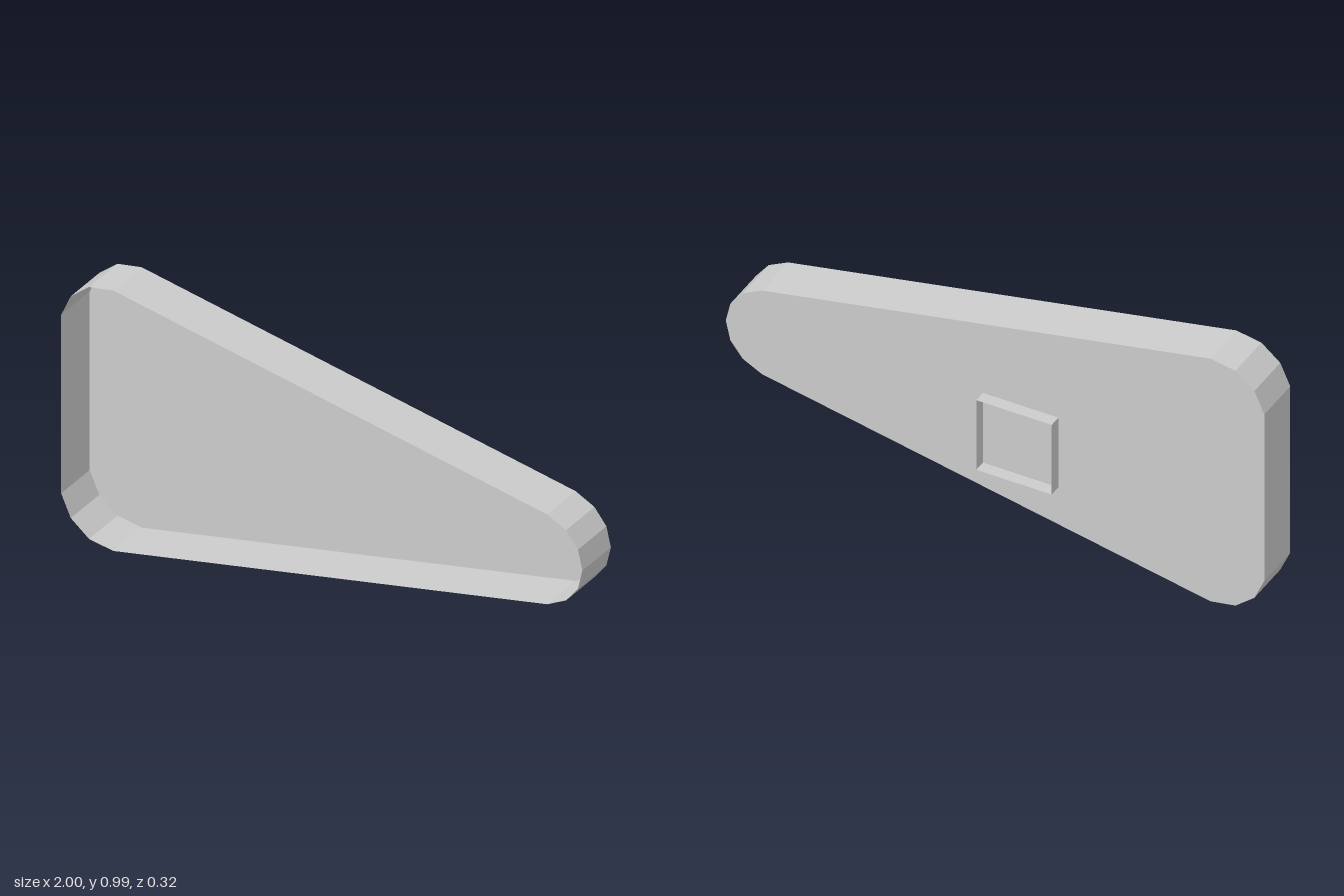
import * as THREE from 'three';

// Open tray: a flat panel at panelZ with thin walls running to rimZ.
function makeTray(name, outline, panelZ, rimZ, material) {
  const tray = new THREE.Group();
  tray.name = name;

  const shape = new THREE.Shape(outline.map(([x, y]) => new THREE.Vector2(x, y)));
  const panel = new THREE.Mesh(new THREE.ShapeGeometry(shape), material);
  panel.name = name + 'Panel';
  panel.position.z = panelZ;

  // One separate quad per side keeps the corners faceted.
  const positions = [];
  const back = Math.min(panelZ, rimZ);
  const front = Math.max(panelZ, rimZ);
  outline.forEach(([x0, y0], i) => {
    const [x1, y1] = outline[(i + 1) % outline.length];
    positions.push(x0, y0, back, x1, y1, back, x1, y1, front);
    positions.push(x0, y0, back, x1, y1, front, x0, y0, front);
  });
  const wallGeometry = new THREE.BufferGeometry();
  wallGeometry.setAttribute('position', new THREE.Float32BufferAttribute(positions, 3));
  wallGeometry.computeVertexNormals();
  const wall = new THREE.Mesh(wallGeometry, material);
  wall.name = name + 'Wall';

  tray.add(panel, wall);
  return tray;
}

export function createModel() {
  const model = new THREE.Group();
  model.name = 'taperedTray';
  const grey = new THREE.MeshStandardMaterial({
    color: 0xcccccc, side: THREE.DoubleSide, flatShading: true,
  });
  grey.name = 'light grey';

  // Lower half of the tapered outline, mirrored about its middle height.
  const midY = 0.493;
  const lower = [
    [-1, 0.155], [-0.963, 0.073], [-0.893, 0.016], [-0.8, 0],
    [0.865, 0.323], [0.937, 0.36], [0.983, 0.419],
  ];
  const upper = lower.map(([x, y]) => [x, 2 * midY - y]).reverse();
  const bodyOutline = [...lower, [1, midY], ...upper];
  model.add(makeTray('body', bodyOutline, -0.015, 0.16, grey));

  // Small square box behind the body, open to the rear.
  const boxOutline = [[-0.29, 0.345], [-0.01, 0.345], [-0.01, 0.628], [-0.29, 0.628]];
  model.add(makeTray('rearBox', boxOutline, -0.115, -0.16, grey));

  return model;
}
